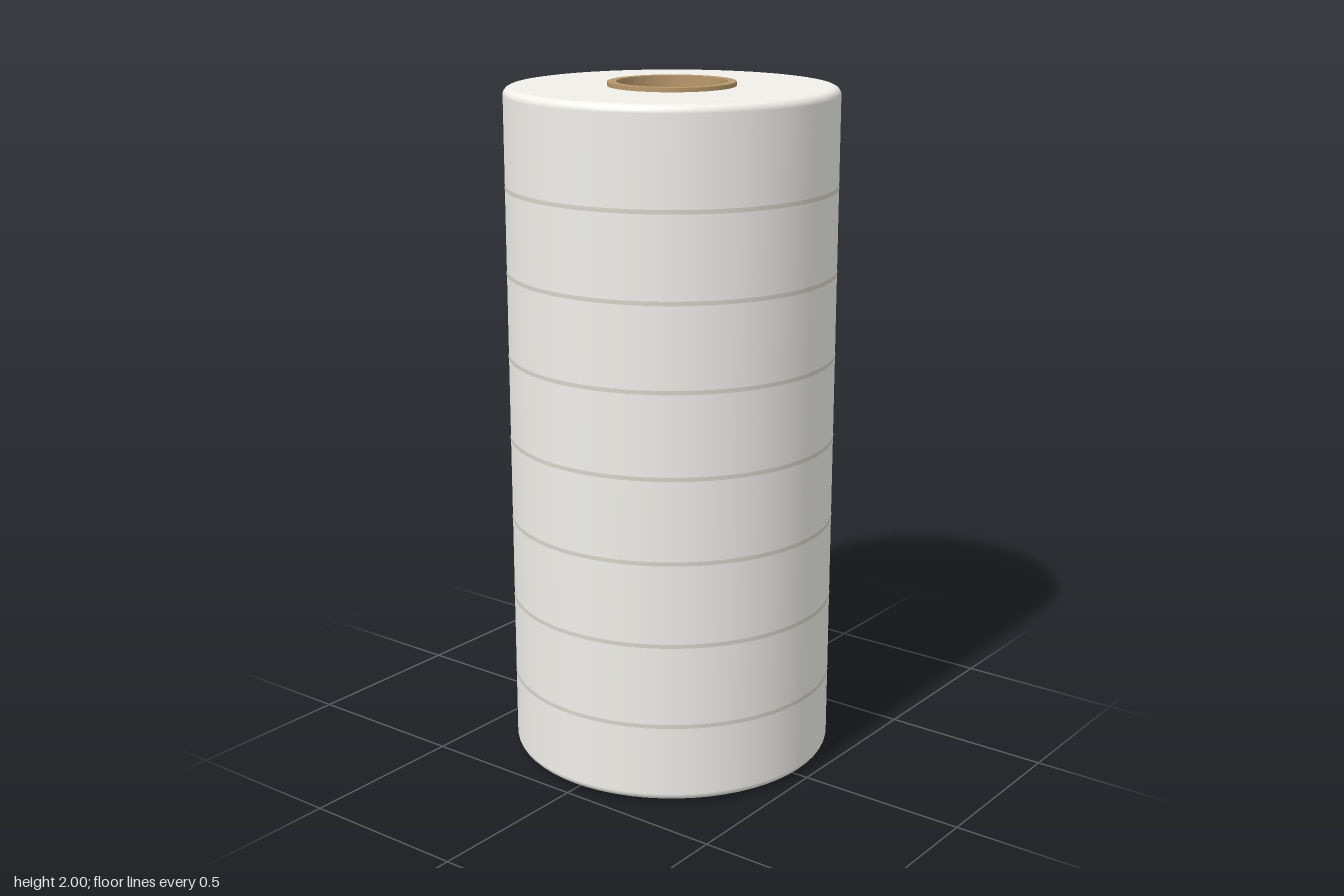
import * as THREE from 'three';
import { mergeGeometries } from 'three/addons/utils/BufferGeometryUtils.js';

const SIDES = 64;

// Revolves each run of [radius, y] points on its own, so edges between runs stay sharp.
function revolve(...runs) {
  return mergeGeometries(runs.map((run) =>
    new THREE.LatheGeometry(run.map(([r, y]) => new THREE.Vector2(r, y)), SIDES)));
}

export function createModel() {
  const group = new THREE.Group();
  const add = (name, geometry, color) => {
    const mesh = new THREE.Mesh(geometry, new THREE.MeshStandardMaterial({ color }));
    mesh.name = name;
    group.add(mesh);
    return mesh;
  };

  const outer = 0.475, coreOuter = 0.182, coreInner = 0.157;
  const bottom = 0.012, top = 1.988, round = 0.022;

  // Wound paper body with softly rounded rims
  const rim = (y, start) => Array.from({ length: 6 }, (_, i) => {
    const a = start + (i / 5) * Math.PI / 2;
    return [outer - round + round * Math.cos(a), y + round * Math.sin(a)];
  });
  const lower = rim(bottom + round, -Math.PI / 2);
  const upper = rim(top - round, 0);
  add('paperRoll', revolve(
    [[coreOuter, bottom], lower[0]],
    [...lower, ...upper],
    [upper[5], [coreOuter, top]],
  ), 0xf0efea);

  // Cardboard tube, open through the middle and slightly proud of both ends
  add('cardboardCore', revolve(
    [[coreInner, 0], [coreOuter, 0]],
    [[coreOuter, 0], [coreOuter, 2]],
    [[coreOuter, 2], [coreInner, 2]],
    [[coreInner, 2], [coreInner, 0]],
  ), 0xb8986c);

  // Thin perforation lines around the body
  for (let i = 1; i <= 7; i++) {
    const y = i * 0.2443, h = 0.006;
    add(`perforation${i}`, revolve([[outer + 0.001, y - h], [outer + 0.001, y + h]]), 0xd6d4cb);
  }
  return group;
}
